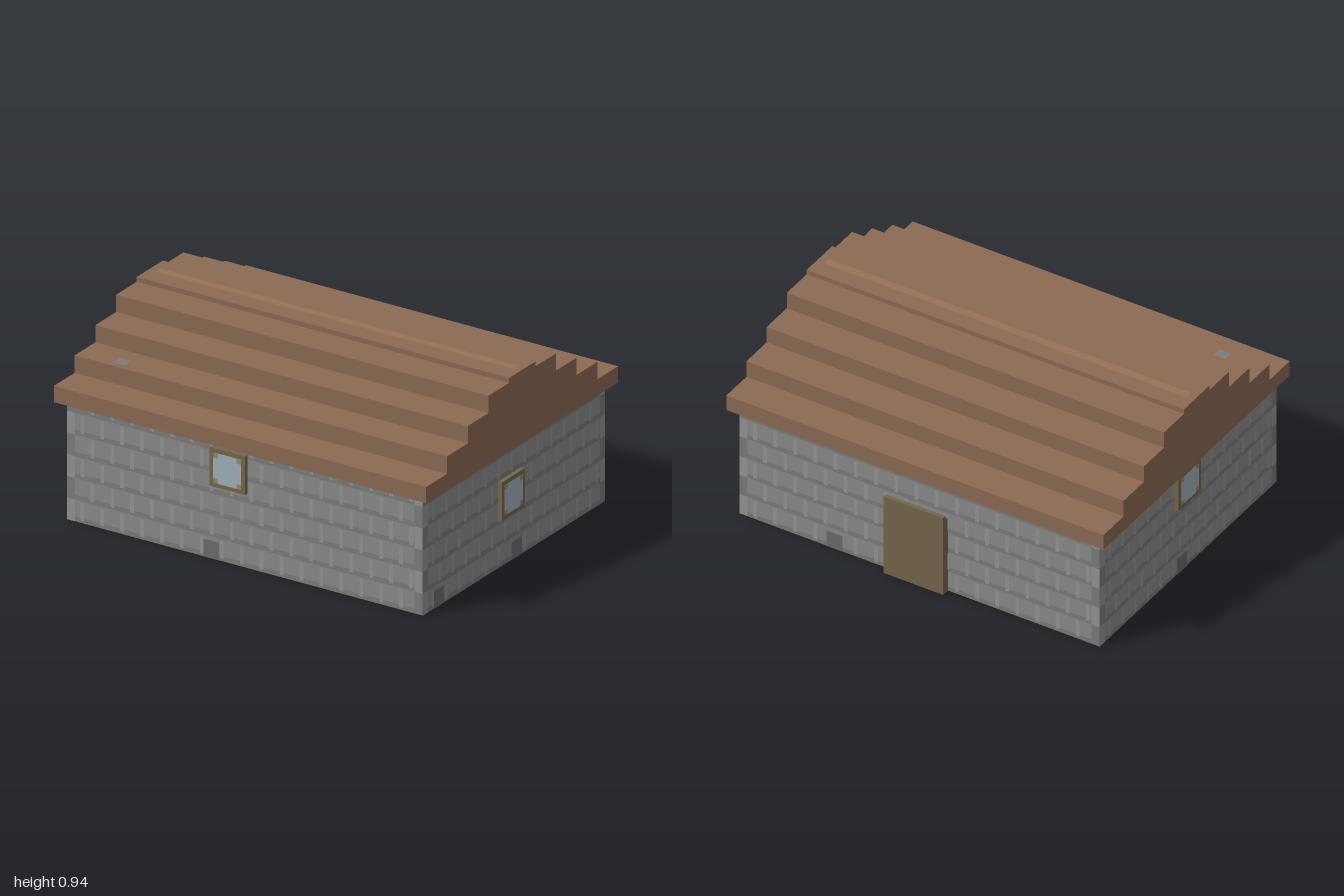
import * as THREE from 'three';
import { mergeGeometries } from 'three/addons/utils/BufferGeometryUtils.js';

const W = 0.955, D = 0.745, H = 0.58; // wall half width, half depth, height
const mat = (color) => new THREE.MeshStandardMaterial({ color, flatShading: true });
const M = {
  stone: mat(0x8a8a8a), joint: mat(0x7c7c7c), pale: mat(0x949494), patch: mat(0x6c6c6c),
  roof: mat(0x8b6a53), ridge: mat(0x977258), wood: mat(0x75664a), lightWood: mat(0x9a8a66), glass: mat(0x9fb0b9),
};

function add(parent, name, geometry, material) {
  const mesh = new THREE.Mesh(geometry, material);
  mesh.name = name;
  parent.add(mesh);
  return mesh;
}

// Box given by its limits
function box(parent, name, x0, x1, y0, y1, z0, z1, material) {
  const g = new THREE.BoxGeometry(x1 - x0, y1 - y0, z1 - z0);
  g.translate((x0 + x1) / 2, (y0 + y1) / 2, (z0 + z1) / 2);
  return add(parent, name, g, material);
}

// Flat rectangle facing +z
function rect(x0, x1, y0, y1, z) {
  return new THREE.PlaneGeometry(x1 - x0, y1 - y0).translate((x0 + x1) / 2, (y0 + y1) / 2, z);
}

// Stone courses, upright joints, corner stones and low dark stones of one wall
function masonry(half, patches) {
  const g = new THREE.Group();
  const bands = [], uprights = [], corners = [], low = [];
  const pitch = 0.107, inner = half - 0.043;
  for (let row = 0; row < 6; row++) {
    const y = row * pitch;
    bands.push(rect(-inner, inner, y, y + 0.024, 0.001));
    const top = Math.min(y + 0.1, H);
    for (let x = -inner + 0.03 + (row % 2) * pitch / 2; x < inner - 0.02; x += pitch) {
      uprights.push(rect(x, x + 0.02, y + 0.012, top, 0.002));
    }
    for (const s of [-1, 1]) {
      const c = s * (half - 0.0215);
      const dark = (row + (s > 0 ? 1 : 0)) % 2;
      (dark ? bands : corners).push(rect(c - 0.0215, c + 0.0215, y, Math.min(y + pitch, H), 0.001));
    }
  }
  for (const x of patches) low.push(rect(x - 0.042, x + 0.042, 0, 0.087, 0.003));
  add(g, 'stoneCourses', mergeGeometries(bands), M.joint);
  add(g, 'uprightJoints', mergeGeometries(uprights), M.pale);
  add(g, 'cornerStones', mergeGeometries(corners), M.pale);
  add(g, 'lowStones', mergeGeometries(low), M.patch);
  return g;
}

// Square framed window, centred on x, with its back on z = 0
function windowUnit(x, y) {
  const g = new THREE.Group();
  g.name = 'window';
  box(g, 'windowFrame', -0.095, 0.095, -0.095, 0.095, -0.01, 0.021, M.wood);
  const r = 0.075, c = 0.05;
  add(g, 'innerTrim', rect(-r, r, -r, r, 0.022), M.lightWood);
  add(g, 'pane', mergeGeometries([rect(-r, r, -c, c, 0.023), rect(-c, c, -r, r, 0.023)]), M.glass);
  g.position.set(x, y, 0);
  return g;
}

export function createModel() {
  const model = new THREE.Group();
  model.name = 'cottage';
  box(model, 'walls', -W, W, 0, H, -D, D, M.stone);

  // Each wall: turn about y, half length, distance from centre, low stones, window centre
  const sides = [
    ['frontWall', 0, W, D, [-0.178], [-0.08, 0.462]],
    ['leftWall', Math.PI / 2, D, W, [-0.617, 0.02], [-0.035, 0.332]],
    ['backWall', Math.PI, W, D, [-0.45], null],
    ['rightWall', -Math.PI / 2, D, W, [-0.055], [-0.018, 0.462]],
  ];
  for (const [name, turn, half, dist, patches, win] of sides) {
    const side = masonry(half, patches);
    side.name = name;
    if (win) side.add(windowUnit(...win));
    side.rotation.y = turn;
    side.position.set(Math.sin(turn) * dist, 0, Math.cos(turn) * dist);
    model.add(side);
  }

  // Door in two layers on the back wall
  box(model, 'doorFrame', -0.15, 0.165, 0, 0.405, -0.767, -D + 0.01, M.wood);
  box(model, 'door', -0.15, 0.165, 0, 0.425, -0.786, -0.767, M.wood);

  // Stepped roof, one outline drawn through from gable to gable
  const steps = [[0.785, 0.66], [0.615, 0.746], [0.445, 0.831], [0.275, 0.916], [0.107, 0.94]];
  const outline = [];
  let y = H;
  for (const [z, top] of steps) {
    outline.push(new THREE.Vector2(z, y), new THREE.Vector2(z, top));
    y = top;
  }
  const mirrored = outline.map((p) => new THREE.Vector2(-p.x, p.y)).reverse();
  const roof = new THREE.ExtrudeGeometry(new THREE.Shape([...outline, ...mirrored]), { depth: 2, bevelEnabled: false });
  roof.translate(0, 0, -1).rotateY(Math.PI / 2);
  add(model, 'steppedRoof', roof, M.roof);

  // Pale ridge strip and one grey roof patch
  const strip = add(model, 'ridgeStrip', rect(-0.96, 0.96, -0.015, 0.025, 0), M.ridge);
  strip.rotation.x = -Math.PI / 2;
  strip.position.y = 0.942;
  const patch = add(model, 'roofPatch', rect(-0.81, -0.75, -0.59, -0.53, 0), M.joint);
  patch.rotation.x = -Math.PI / 2;
  patch.position.y = 0.747;
  patch.position.y = 0.662 + 0;
  patch.position.y = 0.748;
  return model;
}
